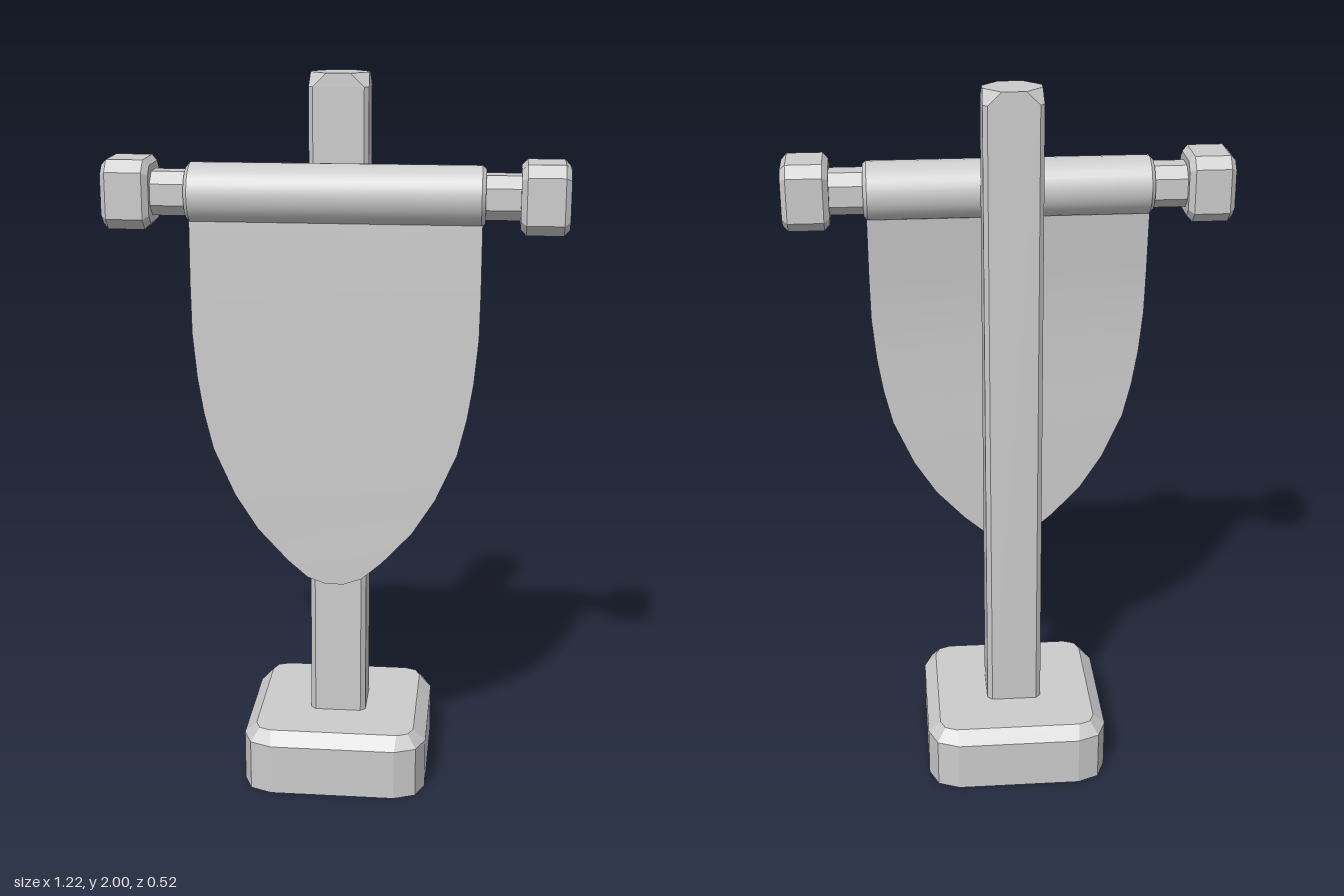
import * as THREE from 'three';
import { toCreasedNormals } from 'three/addons/utils/BufferGeometryUtils.js';

const flat = new THREE.MeshStandardMaterial({ color: 0xcccccc, flatShading: true, side: THREE.DoubleSide });
const smooth = new THREE.MeshStandardMaterial({ color: 0xcccccc });

// Rectangle loop with cut (n = 1) or rounded (n > 1) corners, at height y
function section(y, hx, hz, cut, n = 1, zc = 0) {
  const loop = [];
  for (let q = 0; q < 4; q++) {
    const sx = q === 0 || q === 3 ? 1 : -1;
    const sz = q < 2 ? -1 : 1;
    for (let i = 0; i <= n; i++) {
      const a = (q + i / n) * Math.PI / 2;
      loop.push([sx * (hx - cut) + cut * Math.cos(a), y, zc + sz * (hz - cut) - cut * Math.sin(a)]);
    }
  }
  return loop;
}

// Skin between loops stacked upward, with optional end caps
function loft(loops, capBottom = true) {
  const pos = [];
  const tri = (a, b, c) => pos.push(...a, ...b, ...c);
  const n = loops[0].length;
  for (let k = 0; k < loops.length - 1; k++) {
    const lo = loops[k], up = loops[k + 1];
    for (let i = 0; i < n; i++) {
      const j = (i + 1) % n;
      tri(lo[i], lo[j], up[j]);
      tri(lo[i], up[j], up[i]);
    }
  }
  const first = loops[0], last = loops[loops.length - 1];
  for (let i = 1; i < n - 1; i++) {
    tri(last[0], last[i], last[i + 1]);
    if (capBottom) tri(first[0], first[i + 1], first[i]);
  }
  const g = new THREE.BufferGeometry();
  g.setAttribute('position', new THREE.Float32BufferAttribute(pos, 3));
  g.computeVertexNormals();
  return g;
}

function part(name, geometry, material, parent) {
  const mesh = new THREE.Mesh(geometry, material);
  mesh.name = name;
  parent.add(mesh);
  return mesh;
}

export function createModel() {
  const model = new THREE.Group();
  model.name = 'bannerStand';

  // Hollow base, open underneath
  part('base', loft([
    section(0, 0.26, 0.26, 0.085, 2),
    section(0.145, 0.26, 0.26, 0.085, 2),
    section(0.18, 0.225, 0.225, 0.045, 2),
  ], false), flat, model);

  // Tapered post with cut corners at the top
  part('post', loft([
    section(0.13, 0.079, 0.079, 0.014),
    section(1.965, 0.08, 0.063, 0.012),
    section(2, 0.078, 0.062, 0.046),
  ], false), flat, model);

  // Crossbar assembly, built along x
  const crossbar = new THREE.Group();
  crossbar.name = 'crossbar';
  crossbar.position.set(0, 1.695, 0.133);
  model.add(crossbar);

  const rodProfile = [[0, -0.393], [0.07, -0.393], [0.08, -0.383], [0.08, 0.383], [0.07, 0.393], [0, 0.393]]
    .map(([r, y]) => new THREE.Vector2(r, y));
  const rod = part('rod', toCreasedNormals(new THREE.LatheGeometry(rodProfile, 32), 0.5), smooth, crossbar);
  rod.rotation.z = -Math.PI / 2;

  // Neck and faceted knob at each end
  for (const side of [1, -1]) {
    const end = new THREE.Group();
    end.name = side > 0 ? 'leftEnd' : 'rightEnd';
    end.rotation.z = -side * Math.PI / 2;
    crossbar.add(end);
    part('neck', loft([
      section(0.38, 0.058, 0.058, 0.03),
      section(0.5, 0.058, 0.058, 0.03),
    ]), flat, end);
    part('knob', loft([
      section(0.483, 0.076, 0.076, 0.024),
      section(0.498, 0.091, 0.091, 0.03),
      section(0.595, 0.091, 0.091, 0.03),
      section(0.61, 0.076, 0.076, 0.024),
    ]), flat, end);
  }

  // Cloth: [height, half width, back z, front z], bottom to top
  const rows = [
    [0.614, 0.025, 0.145, 0.176], [0.632, 0.075, 0.145, 0.176], [0.68, 0.13, 0.144, 0.176],
    [0.77, 0.213, 0.143, 0.175], [0.87, 0.276, 0.142, 0.175], [1.0, 0.333, 0.141, 0.174],
    [1.1, 0.357, 0.141, 0.173], [1.2, 0.373, 0.14, 0.172], [1.32, 0.384, 0.136, 0.171],
    [1.45, 0.386, 0.126, 0.17], [1.6, 0.386, 0.11, 0.168], [1.69, 0.386, 0.1, 0.166],
  ];
  const cloth = loft(rows.map(([y, w, zb, zf]) => [[w, y, zb], [-w, y, zb], [-w, y, zf], [w, y, zf]]));
  part('cloth', toCreasedNormals(cloth, 0.6), smooth, model);

  return model;
}
